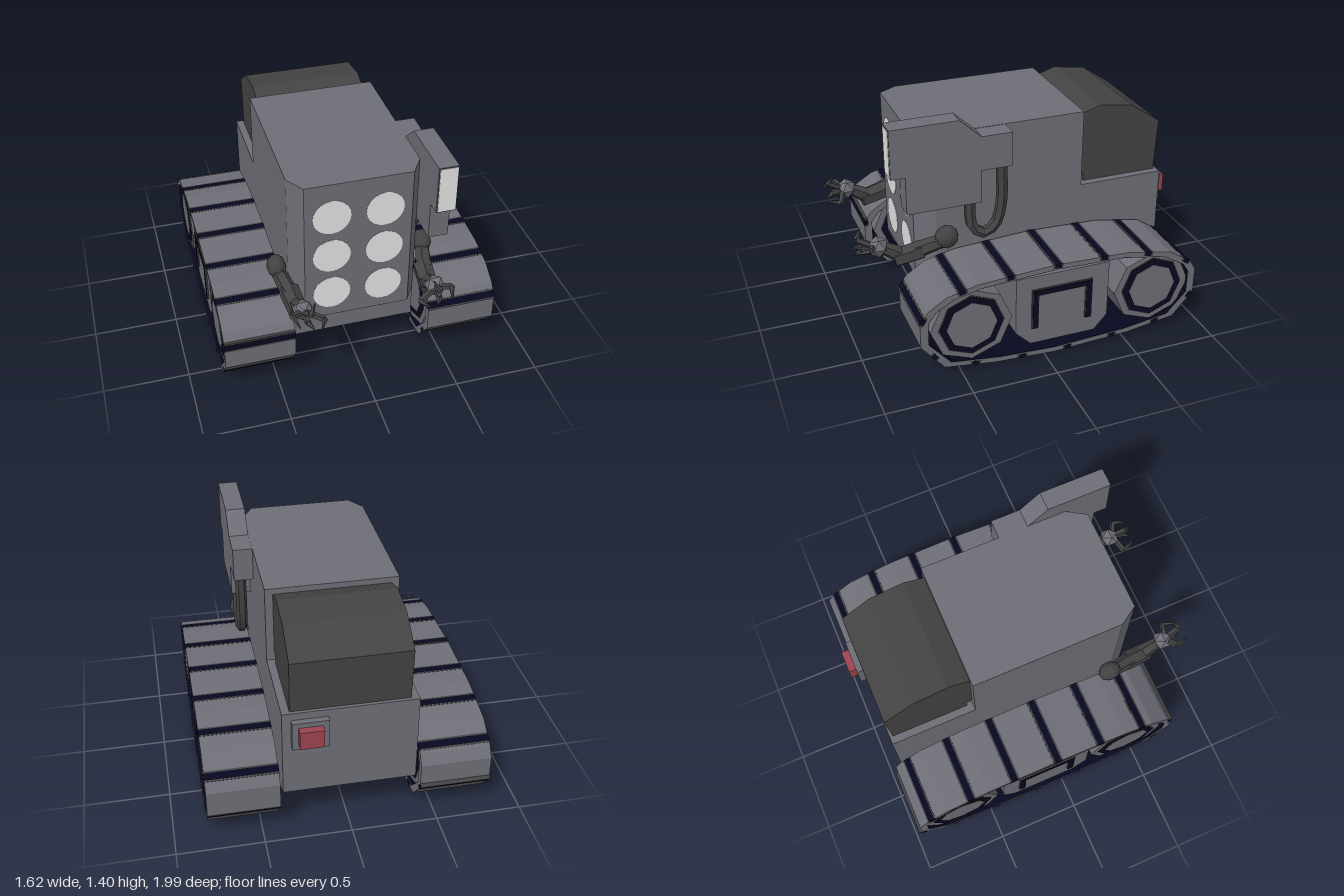
import * as THREE from 'three';

const mat = (name, color) => {
  const m = new THREE.MeshStandardMaterial({ color });
  m.name = name;
  return m;
};

export function createModel() {
  const grey = mat('steel grey', 0x6e6e77);
  const dark = mat('charcoal', 0x434343);
  const navy = mat('dark navy', 0x07071f);
  const light = mat('pale grey', 0xe4e4e4);
  const red = mat('lamp red', 0x9c4450);

  const model = new THREE.Group();
  model.name = 'trackedVehicle';

  const add = (name, geo, material, parent = model) => {
    const mesh = new THREE.Mesh(geo, material);
    mesh.name = name;
    parent.add(mesh);
    return mesh;
  };
  const box = (name, material, x0, x1, y0, y1, z0, z1) => {
    const geo = new THREE.BoxGeometry(x1 - x0, y1 - y0, z1 - z0);
    geo.translate((x0 + x1) / 2, (y0 + y1) / 2, (z0 + z1) / 2);
    return add(name, geo, material);
  };
  // Side profile of [z, y] points, extruded from x0 to x1; a hole lists its points in the same direction
  const prism = (pts, x0, x1, hole) => {
    const flat = (list) => list.map(([z, y]) => new THREE.Vector2(-z, y));
    const shape = new THREE.Shape(flat(pts));
    if (hole) shape.holes.push(new THREE.Path(flat(hole).reverse()));
    const geo = new THREE.ExtrudeGeometry(shape, { depth: x1 - x0, bevelEnabled: false });
    return geo.rotateY(Math.PI / 2).translate(x0, 0, 0);
  };
  const facet = (geo) => {
    const g = geo.index ? geo.toNonIndexed() : geo;
    g.computeVertexNormals();
    return g;
  };
  // Low-poly tapered rod between two points
  const rod = (name, a, b, r0, r1, sides, material, parent) => {
    const from = new THREE.Vector3(...a), to = new THREE.Vector3(...b);
    const dir = to.clone().sub(from);
    const mesh = add(name, facet(new THREE.CylinderGeometry(r1, r0, dir.length(), sides)), material, parent);
    mesh.position.copy(from).add(to).multiplyScalar(0.5);
    mesh.quaternion.setFromUnitVectors(new THREE.Vector3(0, 1, 0), dir.normalize());
    return mesh;
  };

  // Chassis with a shallow slope under the rear
  add('chassis', prism([[0.5, 0.16], [0.5, 0.37], [-0.4, 0.37], [-0.4, 0.82],
    [-0.92, 0.82], [-0.92, 0.28], [-0.63, 0.16]], -0.38, 0.38), grey);

  // Upper hull with chamfered front corners
  const plan = [[-0.38, -0.4], [0.38, -0.4], [0.38, 0.5], [0.31, 0.61], [-0.31, 0.61], [-0.38, 0.5]];
  const hull = new THREE.ExtrudeGeometry(
    new THREE.Shape(plan.map(([x, z]) => new THREE.Vector2(x, -z))),
    { depth: 0.915, bevelEnabled: false });
  add('upperHull', hull.rotateX(-Math.PI / 2).translate(0, 0.37, 0), grey);

  // Rear cab glass
  add('cabWindow', prism([[-0.435, 0.82], [-0.435, 0.865], [-0.4, 0.885], [-0.4, 1.25], [-0.525, 1.29],
    [-0.73, 1.26], [-0.915, 1.135], [-0.9, 0.82]], -0.335, 0.335), dark);

  // Round front lamps
  for (const x of [-0.153, 0.153]) {
    for (const y of [1.07, 0.805, 0.54]) {
      const disc = new THREE.CylinderGeometry(0.11, 0.11, 0.005, 20).rotateX(Math.PI / 2);
      add('frontLamp', disc.translate(x, y, 0.61), light);
    }
  }

  // Rear lamp
  box('rearLampBase', grey, 0.125, 0.33, 0.6, 0.775, -0.955, -0.92);
  box('rearLamp', red, 0.16, 0.295, 0.635, 0.745, -1, -0.955);

  // Side launcher, its lens and its hose
  add('launcher', prism([[0.775, 1.397], [0.385, 1.397], [0.26, 1.283], [0.08, 1.283], [0.08, 1.08],
    [0.265, 1.08], [0.265, 0.885], [0.695, 0.885], [0.695, 1.11], [0.775, 1.11]], 0.38, 0.495), grey);
  box('lensFrame', dark, 0.382, 0.495, 1.111, 1.396, 0.774, 0.777);
  box('launcherLens', light, 0.388, 0.489, 1.117, 1.39, 0.774, 0.78);
  const hosePath = new THREE.CatmullRomCurve3([[1.1, 0.13], [0.85, 0.13], [0.715, 0.165], [0.665, 0.235],
    [0.72, 0.305], [0.9, 0.322]].map(([y, z]) => new THREE.Vector3(0.452, y, z)));
  add('hose', facet(new THREE.TubeGeometry(hosePath, 14, 0.033, 6)), dark);

  // Track outline, seen from the side
  const outer = [[0.735, 0.385], [0.69, 0.45], [0.58, 0.52], [0.4, 0.562], [-0.06, 0.588], [-0.5, 0.573],
    [-0.78, 0.52], [-0.92, 0.43], [-0.958, 0.37], [-0.958, 0.21], [-0.83, 0.065], [-0.535, 0.022],
    [-0.06, 0.001], [0.3, 0.022], [0.6, 0.065], [0.735, 0.23]];
  const shrink = (dz, dy) => outer.map(([z, y]) => [
    -0.1115 + (z + 0.1115) * (1 - dz / 0.8465), 0.295 + (y - 0.295) * (1 - dy / 0.293)]);
  const inner = shrink(0.045, 0.03);
  const loop = new THREE.CurvePath();
  outer.forEach(([z, y], i) => {
    const [z2, y2] = outer[(i + 1) % outer.length];
    loop.add(new THREE.LineCurve3(new THREE.Vector3(0, y, z), new THREE.Vector3(0, y2, z2)));
  });

  const buildTrack = (side) => {
    const track = new THREE.Group();
    track.name = side > 0 ? 'leftTrack' : 'rightTrack';
    track.position.x = side * 0.605;
    model.add(track);
    add('trackBand', prism(outer, -0.205, 0.205, inner), grey, track);
    add('bandLining', prism(inner, -0.203, 0.203, shrink(0.048, 0.033)), navy, track);

    // Cleats spaced evenly around the band; +y of each cleat points inward
    const count = 14;
    for (let i = 0; i < count; i++) {
      const t = ((i + 0.5) / count + (side > 0 ? 0.04 : 0.034)) % 1;
      const p = loop.getPoint(t), d = loop.getTangent(t);
      const cleat = new THREE.Group();
      cleat.name = 'cleat';
      cleat.position.copy(p);
      cleat.rotation.x = Math.atan2(-d.y, d.z);
      track.add(cleat);
      add('cleatBase', new THREE.BoxGeometry(0.411, 0.024, 0.06).translate(0, 0.0105, 0), dark, cleat);
      add('cleatBar', new THREE.BoxGeometry(0.412, 0.026, 0.04).translate(0, 0.0105, 0), navy, cleat);
    }

    // Octagonal wheels with a dark ring on both faces
    for (const z of [0.435, -0.68]) {
      const wheel = new THREE.Group();
      wheel.name = 'wheel';
      wheel.position.set(0, 0.3, z);
      track.add(wheel);
      const drum = (name, r, w, m) => add(name,
        facet(new THREE.CylinderGeometry(r, r, w, 8).rotateZ(Math.PI / 2)), m, wheel);
      drum('wheelDrum', 0.24, 0.38, grey).scale.y = 0.94;
      drum('ringEdge', 0.195, 0.385, dark);
      drum('ring', 0.189, 0.39, navy);
      drum('hub', 0.148, 0.395, grey);
    }

    // Panel between the wheels, with a raised handle on both faces
    add('sidePanel', prism([[0.17, 0.525], [-0.4, 0.525], [-0.4, 0.17], [-0.32, 0.08],
      [0.08, 0.08], [0.17, 0.17]], -0.185, 0.185), grey, track);
    const arch = (w) => [[0.055 + w, 0.185], [0.055 + w, 0.42 + w], [-0.275 - w, 0.42 + w],
      [-0.275 - w, 0.185], [-0.275 + w, 0.185], [-0.275 + w, 0.42 - w], [0.055 - w, 0.42 - w], [0.055 - w, 0.185]];
    for (const f of [-1, 1]) {
      const at = (a, b) => (f > 0 ? [a, b] : [-b, -a]);
      add('handleEdge', prism(arch(0.021), ...at(0.18, 0.193)), dark, track);
      add('handle', prism(arch(0.015), ...at(0.18, 0.197)), navy, track);
    }
  };

  const buildArm = (s) => {
    const arm = new THREE.Group();
    arm.name = s > 0 ? 'leftArm' : 'rightArm';
    model.add(arm);
    const P = (x, y, z) => [s * x, y, z];
    const shoulder = add('shoulder', new THREE.IcosahedronGeometry(0.07, 1), dark, arm);
    shoulder.position.set(...P(0.438, 0.672, 0.455));
    shoulder.scale.x = 0.8;
    rod('upperArm', P(0.435, 0.65, 0.48), P(0.4, 0.6, 0.62), 0.042, 0.05, 6, dark, arm);
    rod('elbow', P(0.4, 0.6, 0.59), P(0.385, 0.565, 0.75), 0.06, 0.055, 6, dark, arm);
    rod('forearm', P(0.385, 0.58, 0.71), P(0.38, 0.65, 0.82), 0.05, 0.035, 6, dark, arm);
    const palm = add('palm', new THREE.IcosahedronGeometry(0.062, 0), grey, arm);
    palm.position.set(...P(0.38, 0.655, 0.84));
    // Fingers: knuckle and tip
    const fingers = [
      [P(0.455, 0.68, 0.9), P(0.43, 0.66, 0.985)],
      [P(0.275, 0.615, 0.9), P(0.31, 0.625, 0.985)],
      [P(0.365, 0.715, 0.955), P(0.335, 0.765, 0.925)],
      [P(0.375, 0.64, 0.93), P(0.35, 0.62, 0.97)],
    ];
    for (const [knuckle, tip] of fingers) {
      rod('finger', P(0.38, 0.66, 0.86), knuckle, 0.02, 0.018, 5, dark, arm);
      rod('fingertip', knuckle, tip, 0.018, 0.003, 5, dark, arm);
    }
  };

  for (const s of [-1, 1]) {
    buildTrack(s);
    buildArm(s);
  }
  return model;
}
